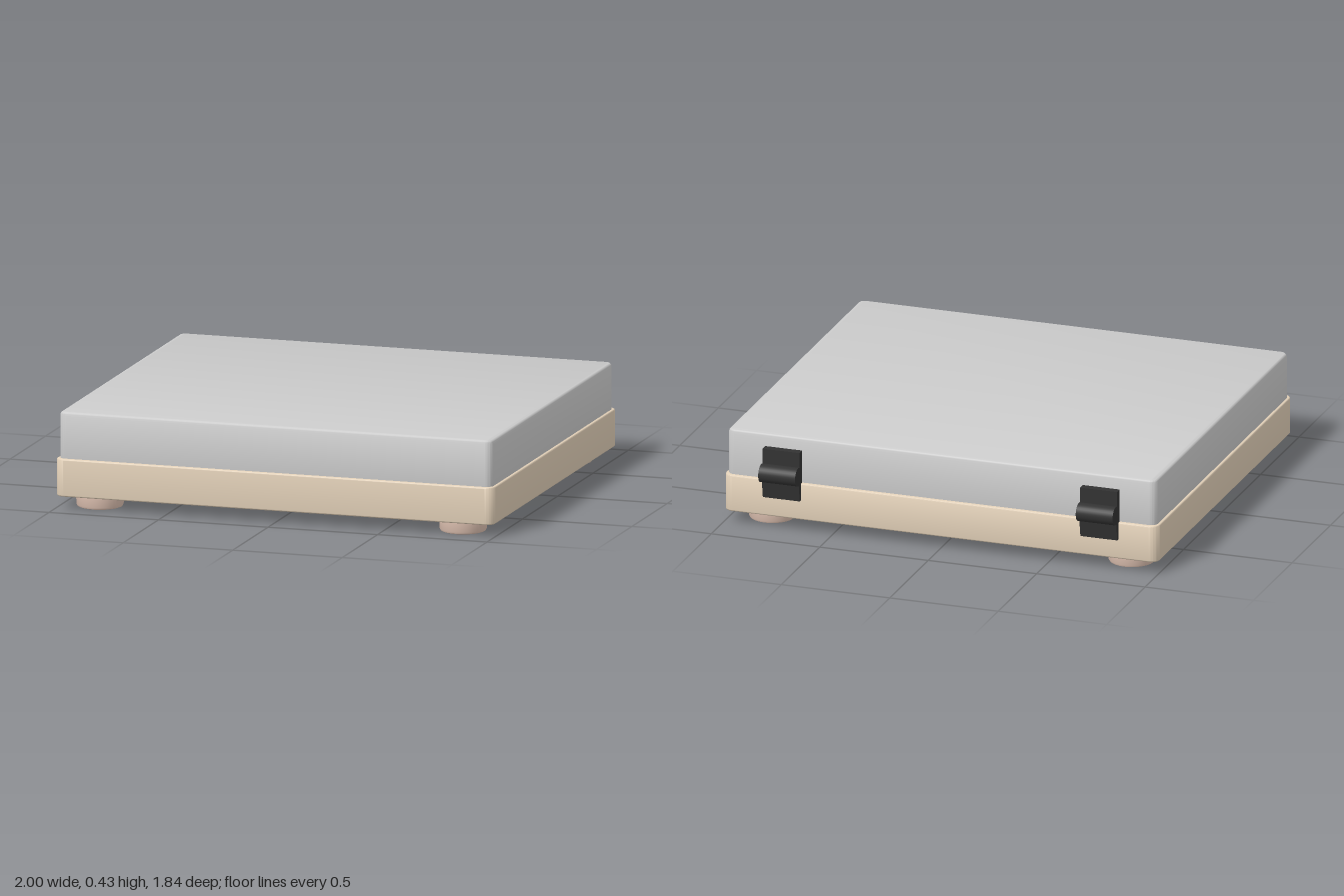
import * as THREE from 'three';
import { toCreasedNormals } from 'three/addons/utils/BufferGeometryUtils.js';

const material = (color) => new THREE.MeshStandardMaterial({ color });
const lidMat = material(0xcccccc);
const baseMat = material(0xe2d0b8);
const footMat = material(0xdfc2b2);
const hingeMat = material(0x333333);

function addMesh(parent, name, geometry, mat) {
  const mesh = new THREE.Mesh(geometry, mat);
  mesh.name = name;
  parent.add(mesh);
  return mesh;
}

// Slab with rounded corners in plan and bevelled top and bottom edges
function slab(x, zBack, zFront, y0, y1, radius, bevel) {
  const a = x - bevel, b = -zFront + bevel, t = -zBack - bevel, r = radius - bevel;
  const s = new THREE.Shape();
  s.moveTo(-a + r, b);
  s.lineTo(a - r, b);
  s.absarc(a - r, b + r, r, -Math.PI / 2, 0);
  s.absarc(a - r, t - r, r, 0, Math.PI / 2);
  s.absarc(-a + r, t - r, r, Math.PI / 2, Math.PI);
  s.absarc(-a + r, b + r, r, Math.PI, Math.PI * 1.5);
  const g = new THREE.ExtrudeGeometry(s, {
    depth: y1 - y0 - 2 * bevel, bevelEnabled: true, bevelSize: bevel,
    bevelThickness: bevel, bevelSegments: 4, curveSegments: 8,
  });
  g.rotateX(-Math.PI / 2);
  g.translate(0, y0 + bevel, 0);
  return toCreasedNormals(g, 0.6);
}

// Side profile given as [z, y] points, extruded along x and centred
function plate(points, width) {
  const s = new THREE.Shape(points.map(([z, y]) => new THREE.Vector2(-z, y)));
  const g = new THREE.ExtrudeGeometry(s, { depth: width, bevelEnabled: false });
  g.translate(0, 0, -width / 2);
  g.rotateY(Math.PI / 2);
  return g;
}

function createHinge(x) {
  const hinge = new THREE.Group();
  hinge.name = 'hinge';
  const width = 0.17, barrelY = 0.265, barrelZ = -0.88;
  // Straight leaf on the lid, tapering leaf on the base
  addMesh(hinge, 'lidLeaf',
    plate([[-0.825, 0.25], [-0.825, 0.37], [-0.863, 0.37], [-0.863, 0.25]], width), hingeMat);
  addMesh(hinge, 'baseLeaf',
    plate([[-0.825, 0.26], [-0.88, 0.26], [-0.86, 0.145], [-0.84, 0.145]], width), hingeMat);
  const barrel = new THREE.CylinderGeometry(0.041, 0.041, width, 32);
  barrel.rotateZ(Math.PI / 2);
  addMesh(hinge, 'hingeBarrel', barrel, hingeMat).position.set(0, barrelY, barrelZ);
  hinge.position.x = x;
  return hinge;
}

export function createModel() {
  const model = new THREE.Group();
  model.name = 'hingedCase';

  addMesh(model, 'base', slab(1, -0.845, 0.92, 0.055, 0.222, 0.04, 0.007), baseMat);
  // The lid's lower bevel is sunk into the base
  addMesh(model, 'lid', slab(0.988, -0.828, 0.902, 0.19, 0.428, 0.032, 0.016), lidMat);

  // Round feet with a softened lower edge
  const profile = [[0, 0], [0.092, 0], [0.099, 0.003], [0.103, 0.011], [0.104, 0.06], [0, 0.06]];
  const footGeo = toCreasedNormals(
    new THREE.LatheGeometry(profile.map(([r, y]) => new THREE.Vector2(r, y)), 40), 0.6);
  for (const x of [-0.833, 0.825]) {
    for (const z of [-0.698, 0.795]) {
      addMesh(model, 'foot', footGeo, footMat).position.set(x, 0, z);
    }
  }

  for (const x of [-0.737, 0.727]) model.add(createHinge(x));
  return model;
}
